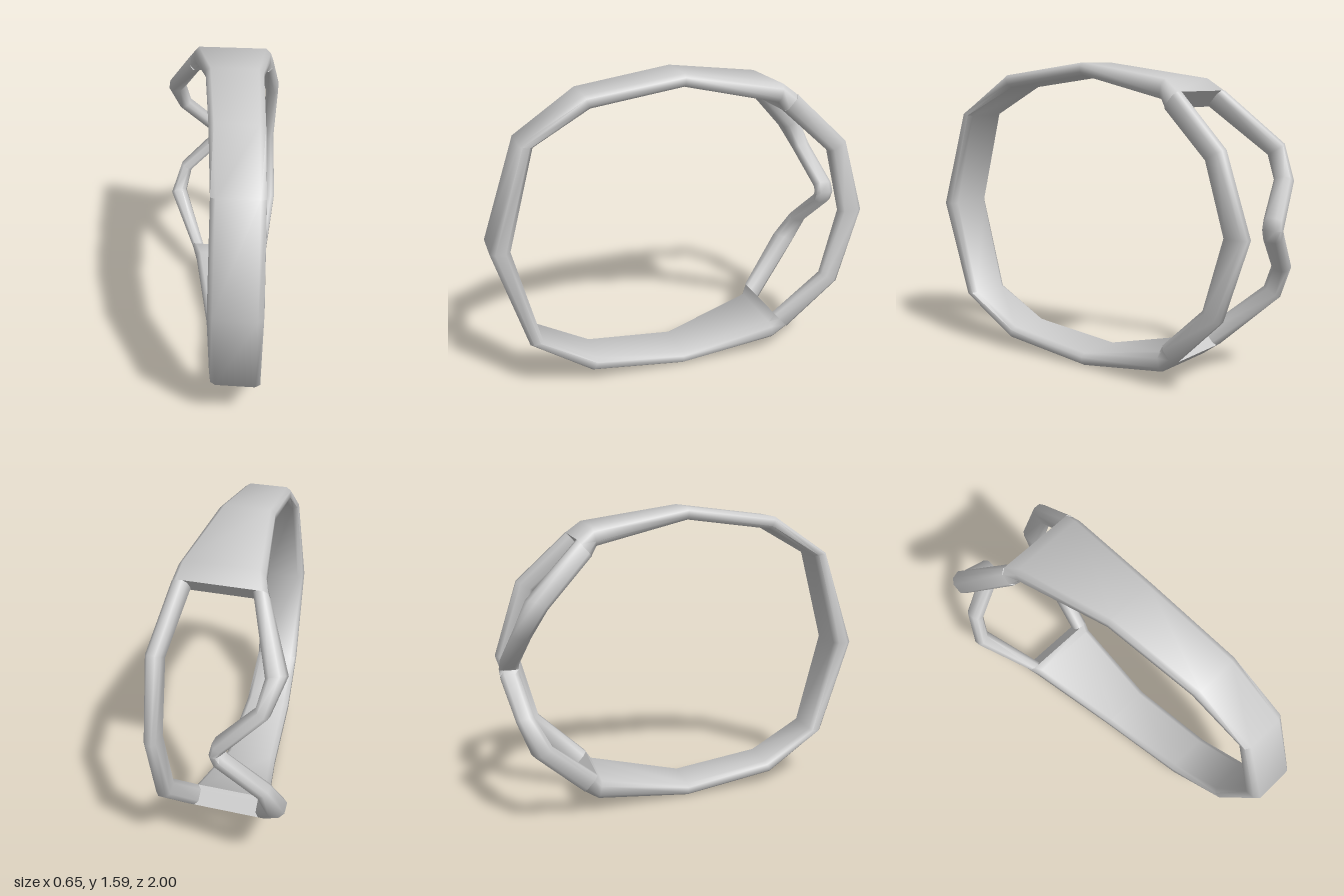
import * as THREE from 'three';
import { toCreasedNormals } from 'three/addons/utils/BufferGeometryUtils.js';

const material = new THREE.MeshStandardMaterial({ color: 0xcccccc, roughness: 0.6 });
const CENTRE_Y = 0.795;

// Station: two side points p and q on the mid surface, and half thickness v pointing outward.
const station = (p, q, vy, vz) => ({
  p: new THREE.Vector3(...p),
  q: new THREE.Vector3(...q),
  v: new THREE.Vector3(0, vy, vz),
});

// Straight-across station from x0 to x1, given outer and inner [z, y].
const across = (x0, x1, [zo, yo], [zi, yi]) => {
  const y = (yo + yi) / 2, z = (zo + zi) / 2;
  return station([x0, y, z], [x1, y, z], (yo - yi) / 2, (zo - zi) / 2);
};

// Upper half of a path, continued by its mirror image below.
function mirrored(half) {
  const flip = (a) => new THREE.Vector3(a.x, -a.y, a.z);
  const lower = half.slice(0, -1).reverse()
    .map((s) => ({ p: flip(s.p), q: flip(s.q), v: flip(s.v) }));
  return [...half, ...lower];
}

// Chamfered cross-sections lofted along the stations, capped at both ends.
function loft(name, stations, chamfer) {
  const positions = [], index = [], n = 8;
  for (const { p, q, v } of stations) {
    const c = p.clone().add(q).multiplyScalar(0.5);
    const u = q.clone().sub(p).multiplyScalar(0.5);
    const a = 1 - Math.min(0.5, chamfer / u.length());
    const b = 1 - Math.min(0.5, chamfer / v.length());
    const loop = [[1, -b], [1, b], [a, 1], [-a, 1], [-1, b], [-1, -b], [-a, -1], [a, -1]];
    for (const [s, t] of loop) {
      const w = c.clone().addScaledVector(u, s).addScaledVector(v, t);
      positions.push(w.x, w.y + CENTRE_Y, w.z);
    }
  }
  const last = (stations.length - 1) * n;
  for (let i = 0; i < last; i += n) {
    for (let j = 0; j < n; j++) {
      const k = (j + 1) % n;
      index.push(i + j, i + k, i + n + k, i + j, i + n + k, i + n + j);
    }
  }
  for (let j = 1; j < n - 1; j++) {
    index.push(0, j + 1, j, last, last + j, last + j + 1);
  }
  const geometry = new THREE.BufferGeometry();
  geometry.setAttribute('position', new THREE.Float32BufferAttribute(positions, 3));
  geometry.setIndex(index);
  const mesh = new THREE.Mesh(toCreasedNormals(geometry, 1.1), material);
  mesh.name = name;
  return mesh;
}

export function createModel() {
  const group = new THREE.Group();
  group.name = 'splitRing';

  const splitOuter = [-0.6, 0.655], splitInner = [-0.53, 0.575];

  // Wide band, from the upper split round the front to the lower split
  group.add(loft('band', mirrored([
    across(-0.17, 0.29, splitOuter, splitInner),
    across(-0.14, 0.28, [-0.52, 0.715], [-0.5, 0.62]),
    across(-0.03, 0.26, [0, 0.795], [0, 0.73]),
    across(0.03, 0.29, [0.51, 0.73], [0.48, 0.665]),
    across(0.065, 0.31, [0.83, 0.52], [0.765, 0.505]),
    across(0.065, 0.32, [1, 0], [0.9, 0]),
  ]), 0.025));

  // Plain strand closing the back of the ring
  group.add(loft('plainStrand', mirrored([
    across(0.215, 0.29, splitOuter, splitInner),
    across(0.25, 0.325, [-0.87, 0.4], [-0.78, 0.35]),
    across(0.245, 0.305, [-1, 0], [-0.875, 0]),
  ]).reverse(), 0.022));

  // Bent strand that bows out and dips to a point in the middle
  group.add(loft('bentStrand', mirrored([
    across(-0.17, -0.1, splitOuter, splitInner),
    station([-0.325, 0.37, -0.81], [-0.24, 0.36, -0.84], 0.025, -0.043),
    station([-0.27, 0.2, -0.9], [-0.21, 0.235, -0.89], 0.008, -0.045),
    station([-0.08, 0.02, -0.95], [-0.025, 0.06, -0.945], 0, -0.048),
    station([-0.06, 0, -0.95], [-0.01, 0, -0.95], 0, -0.05),
  ]).reverse(), 0.022));

  return group;
}
